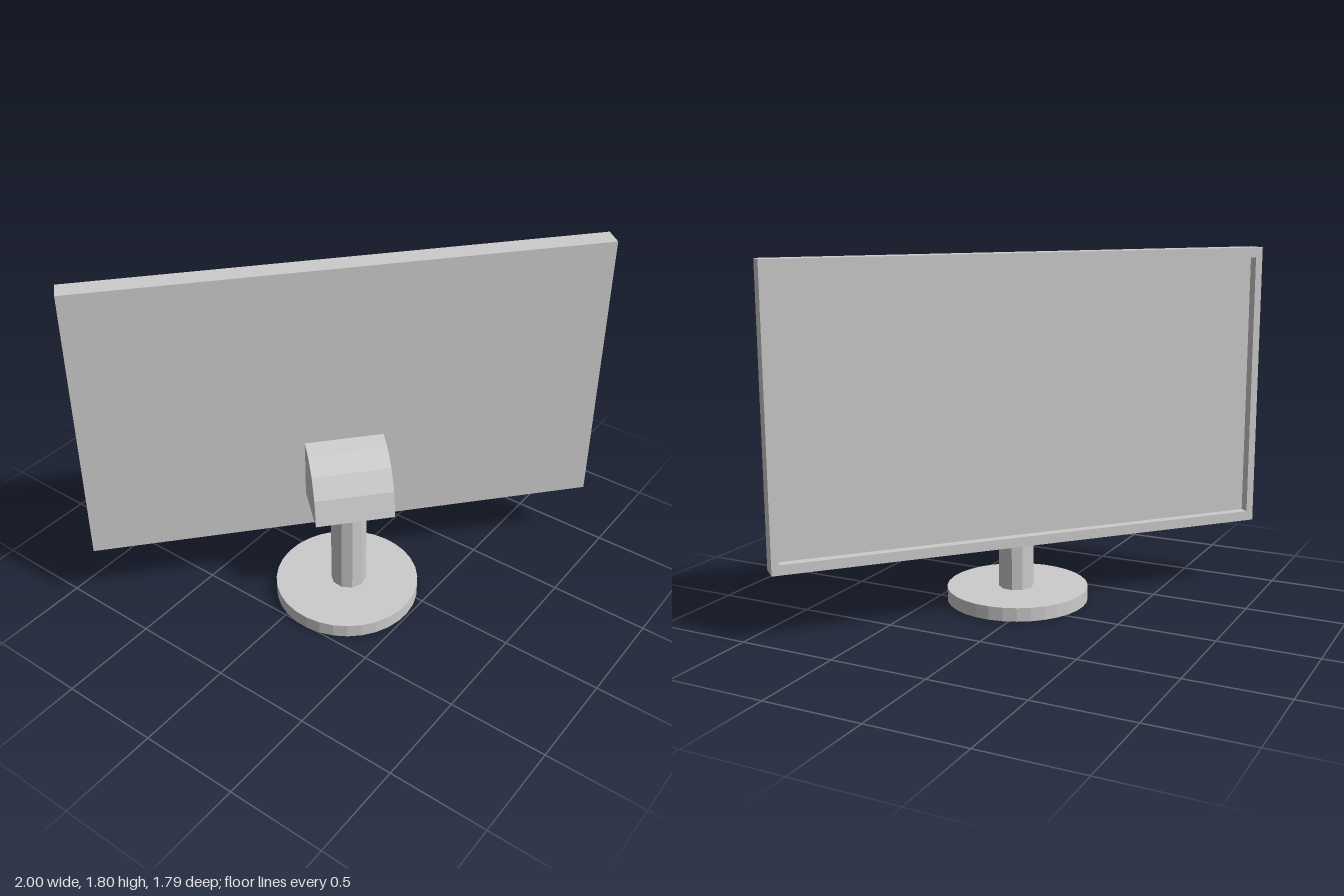
import * as THREE from 'three';

const material = new THREE.MeshStandardMaterial({ color: 0xcccccc, flatShading: true });

const WIDTH = 2.58, BOTTOM = 0.35, TOP = 1.8, THICK = 0.105;
const RECESS = 0.048, SIDE_BORDER = 0.038, EDGE_BORDER = 0.05;
const BACK = -THICK / 2;

function addPart(group, name, geometry, x = 0, y = 0, z = 0) {
  const mesh = new THREE.Mesh(geometry, material);
  mesh.name = name;
  mesh.position.set(x, y, z);
  group.add(mesh);
}

function rectangle(PathType, halfWidth, low, high) {
  return new PathType([
    new THREE.Vector2(-halfWidth, low), new THREE.Vector2(halfWidth, low),
    new THREE.Vector2(halfWidth, high), new THREE.Vector2(-halfWidth, high),
  ]);
}

export function createModel() {
  const model = new THREE.Group();
  model.name = 'monitor';

  // Built with the screen facing +z, then the whole monitor is turned
  const monitor = new THREE.Group();
  monitor.name = 'turnedMonitor';
  monitor.rotation.y = THREE.MathUtils.degToRad(138.4);
  model.add(monitor);

  // Flat rear casing, whose front face is the sunken screen
  const casingDepth = THICK - RECESS;
  addPart(monitor, 'screenCasing', new THREE.BoxGeometry(WIDTH, TOP - BOTTOM, casingDepth),
    0, (TOP + BOTTOM) / 2, BACK + casingDepth / 2);

  // Thin raised bezel around the screen
  const bezel = rectangle(THREE.Shape, WIDTH / 2, BOTTOM, TOP);
  bezel.holes.push(rectangle(THREE.Path, WIDTH / 2 - SIDE_BORDER, BOTTOM + EDGE_BORDER, TOP - EDGE_BORDER));
  addPart(monitor, 'bezel', new THREE.ExtrudeGeometry(bezel, { depth: RECESS, bevelEnabled: false }),
    0, 0, BACK + casingDepth);

  // Faceted quarter-round bracket behind the panel: (distance from panel, height)
  const profile = [[0, 0.55], [0.278, 0.55], [0.243, 0.68], [0.178, 0.777], [0.088, 0.837], [0, 0.857]];
  const bracket = new THREE.ExtrudeGeometry(
    new THREE.Shape(profile.map(([d, y]) => new THREE.Vector2(d, y))),
    { depth: 0.396, bevelEnabled: false });
  bracket.rotateY(Math.PI / 2);
  addPart(monitor, 'bracket', bracket, 0.012 - 0.198, 0, BACK);

  // Ten-sided neck and round foot
  addPart(monitor, 'neck', new THREE.CylinderGeometry(0.09, 0.09, 0.5, 10), 0.017, 0.31, -0.186);
  addPart(monitor, 'foot', new THREE.CylinderGeometry(0.366, 0.366, 0.07, 32), 0.026, 0.035, -0.187);

  return model;
}
